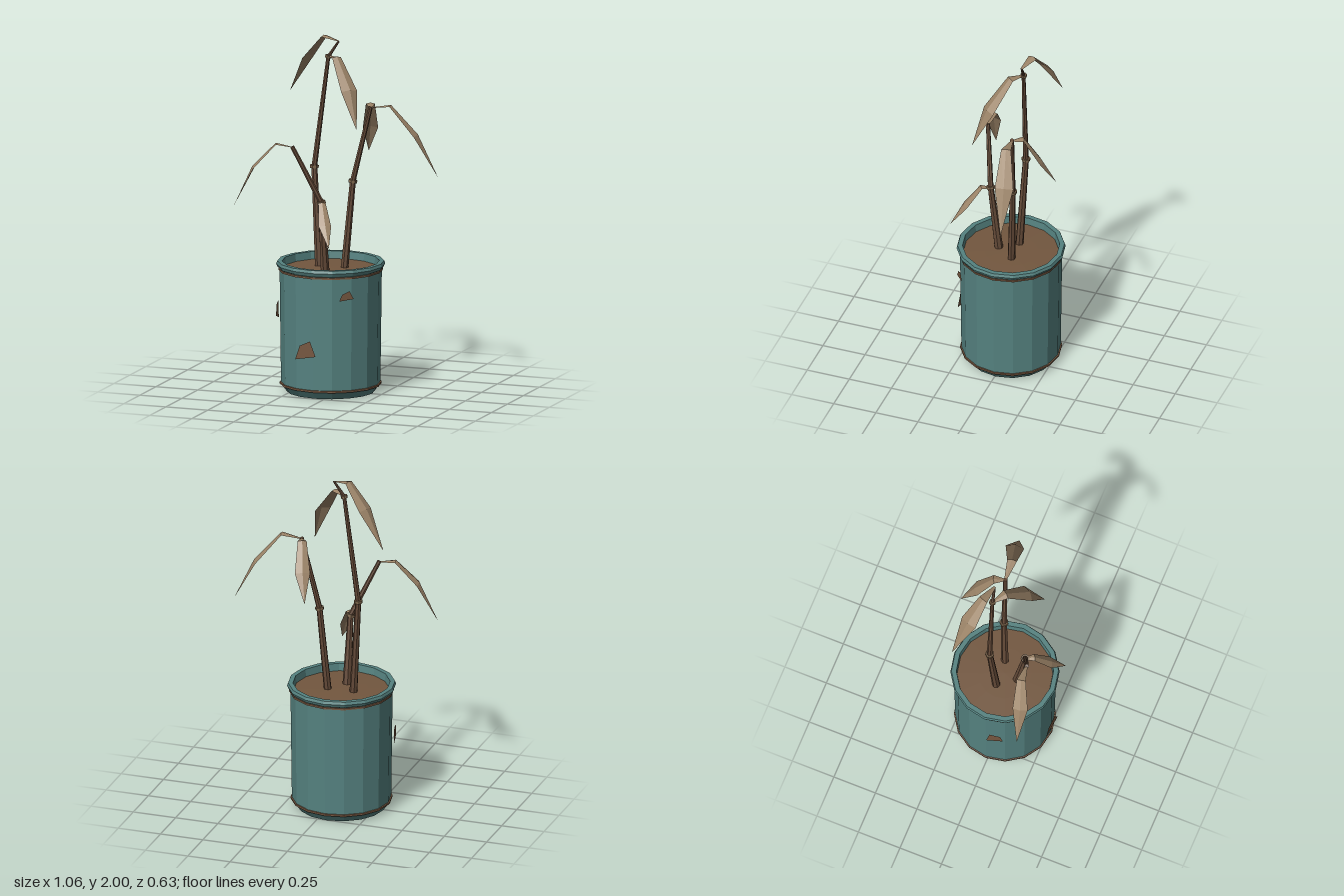
import * as THREE from 'three';

const mat = (name, color, side = THREE.FrontSide) => {
  const m = new THREE.MeshStandardMaterial({ color, side });
  m.name = name;
  return m;
};

export function createModel() {
  const group = new THREE.Group();
  group.name = 'witheredPottedPlant';
  const teal = mat('tealPaint', 0x558280);
  const rust = mat('rust', 0x765740, THREE.DoubleSide);
  const soilMat = mat('drySoil', 0x73573f);
  const stemMat = mat('deadStem', 0x644a38);
  const nodeMat = mat('stemNode', 0x7d664c);
  const leafMat = mat('dryLeaf', 0x9c8468, THREE.DoubleSide);
  const V = (p) => new THREE.Vector3(...p);

  // Faceted mesh helper
  const add = (name, geo, material, parent = group) => {
    const g = geo.index ? geo.toNonIndexed() : geo;
    g.computeVertexNormals();
    const mesh = new THREE.Mesh(g, material);
    mesh.name = name;
    parent.add(mesh);
    return mesh;
  };

  // Pot: everything turned around its own axis
  const pot = new THREE.Group();
  pot.name = 'pot';
  pot.position.set(-0.055, 0, -0.005);
  group.add(pot);
  const lathe = (name, pts, material) =>
    add(name, new THREE.LatheGeometry(pts.map((p) => new THREE.Vector2(...p)), 16), material, pot);

  lathe('potBody', [[0, 0], [0.247, 0], [0.277, 0.042], [0.277, 0.05], [0.285, 0.7]], teal);
  lathe('potRim', [[0.284, 0.698], [0.296, 0.705], [0.304, 0.722], [0.298, 0.738],
    [0.271, 0.738], [0.266, 0.69]], teal);
  lathe('soil', [[0.272, 0.695], [0.15, 0.699], [0, 0.702]], soilMat);
  for (const [name, r, y] of [['upperRustBand', 0.285, 0.692], ['lowerRustBand', 0.277, 0.046]]) {
    lathe(name, [[r - 0.006, y - 0.007], [r + 0.007, y - 0.005],
      [r + 0.007, y + 0.005], [r - 0.006, y + 0.007]], rust);
  }

  // Rust patches: thin flat plates just off the wall
  const patch = (angle, y, pts) => {
    const shape = new THREE.Shape(pts.map((p) => new THREE.Vector2(...p)));
    const m = add('rustPatch', new THREE.ShapeGeometry(shape), rust, pot);
    m.position.set(Math.sin(angle) * 0.301, y, Math.cos(angle) * 0.301);
    m.rotation.y = angle;
  };
  patch(-0.13, 0.28, [[-0.063, -0.055], [0.066, -0.03], [0.03, 0.055], [-0.034, 0.025]]);
  patch(0.66, 0.592, [[-0.043, -0.026], [0.042, -0.016], [0.018, 0.03], [-0.024, 0.012]]);
  patch(-1.37, 0.445, [[-0.05, -0.05], [0.045, -0.022], [0.03, 0.04], [-0.03, 0.05]]);

  // Tapered stem piece between two points
  const rod = (name, a, b, r0, r1, material) => {
    const dir = b.clone().sub(a);
    const m = add(name, new THREE.CylinderGeometry(r1, r0, dir.length(), 7), material);
    m.position.copy(a).add(b).multiplyScalar(0.5);
    m.quaternion.setFromUnitVectors(new THREE.Vector3(0, 1, 0), dir.normalize());
  };
  const node = (p, dir, r) => {
    const d = dir.clone().normalize().multiplyScalar(0.008);
    rod('stemNode', p.clone().sub(d), p.clone().add(d), r, r, nodeMat);
  };

  // Stalks: points with radii, and how many inner joints carry a ring
  const stalks = [
    [[[-0.132, 0.68, -0.025], 0.023], [[-0.17, 1.257, -0.05], 0.017],
      [[-0.092, 1.885, -0.065], 0.011], [[-0.035, 1.972, -0.075], 0.006]],
    [[[0.015, 0.68, -0.033], 0.022], [[0.057, 1.188, -0.056], 0.017], [[0.152, 1.612, -0.087], 0.012]],
    [[[-0.06, 0.68, 0.068], 0.025], [[-0.064, 1.093, 0.12], 0.017], [[-0.21, 1.412, 0.19], 0.012]],
  ];
  for (const s of stalks) {
    for (let i = 0; i < s.length - 1; i++) {
      const a = V(s[i][0]), b = V(s[i + 1][0]);
      rod('stalk', a, b, i ? s[i][1] * 0.95 : s[i][1], s[i + 1][1], stemMat);
      if (i) node(a, b.clone().sub(V(s[i - 1][0])), s[i][1] + 0.008);
    }
  }

  // Leaf: ridged blade through root, shoulder, belly and tip
  const leaf = (points, shoulder, belly) => {
    const path = points.map(V);
    const half = [0.007, shoulder / 2, belly / 2, 0.001];
    const flat = path[3].clone().sub(path[0]).setY(0).normalize();
    const side = new THREE.Vector3(-flat.z, 0, flat.x);
    const pos = [], index = [];
    path.forEach((p, i) => {
      const t = path[Math.min(i + 1, 3)].clone().sub(path[Math.max(i - 1, 0)]).normalize();
      const up = side.clone().cross(t).normalize();
      for (const k of [-1, 0, 1]) {
        const v = p.clone().addScaledVector(side, k * half[i])
          .addScaledVector(up, -Math.abs(k) * half[i] * 0.3);
        pos.push(v.x, v.y, v.z);
      }
      if (i < 3) {
        for (const j of [0, 1]) {
          const a = i * 3 + j;
          index.push(a, a + 1, a + 3, a + 1, a + 4, a + 3);
        }
      }
    });
    const g = new THREE.BufferGeometry();
    g.setAttribute('position', new THREE.Float32BufferAttribute(pos, 3));
    g.setIndex(index);
    add('leaf', g, leafMat);
  };
  leaf([[-0.032, 1.975, -0.075], [-0.135, 1.997, -0.105], [-0.255, 1.865, -0.15], [-0.368, 1.65, -0.194]], 0.055, 0.1);
  leaf([[-0.09, 1.888, -0.062], [-0.02, 1.9, -0.01], [0.095, 1.735, 0.085], [0.157, 1.525, 0.147]], 0.055, 0.1);
  leaf([[0.152, 1.608, -0.087], [0.27, 1.63, -0.095], [0.415, 1.465, -0.135], [0.526, 1.225, -0.157]], 0.055, 0.105);
  leaf([[0.152, 1.608, -0.087], [0.126, 1.622, -0.15], [0.09, 1.468, -0.245], [0.054, 1.315, -0.315]], 0.05, 0.085);
  leaf([[-0.21, 1.41, 0.188], [-0.306, 1.428, 0.195], [-0.43, 1.295, 0.238], [-0.53, 1.07, 0.26]], 0.05, 0.085);
  leaf([[-0.064, 1.093, 0.12], [-0.04, 1.103, 0.17], [0.01, 0.99, 0.252], [0.055, 0.875, 0.315]], 0.042, 0.07);

  return group;
}
